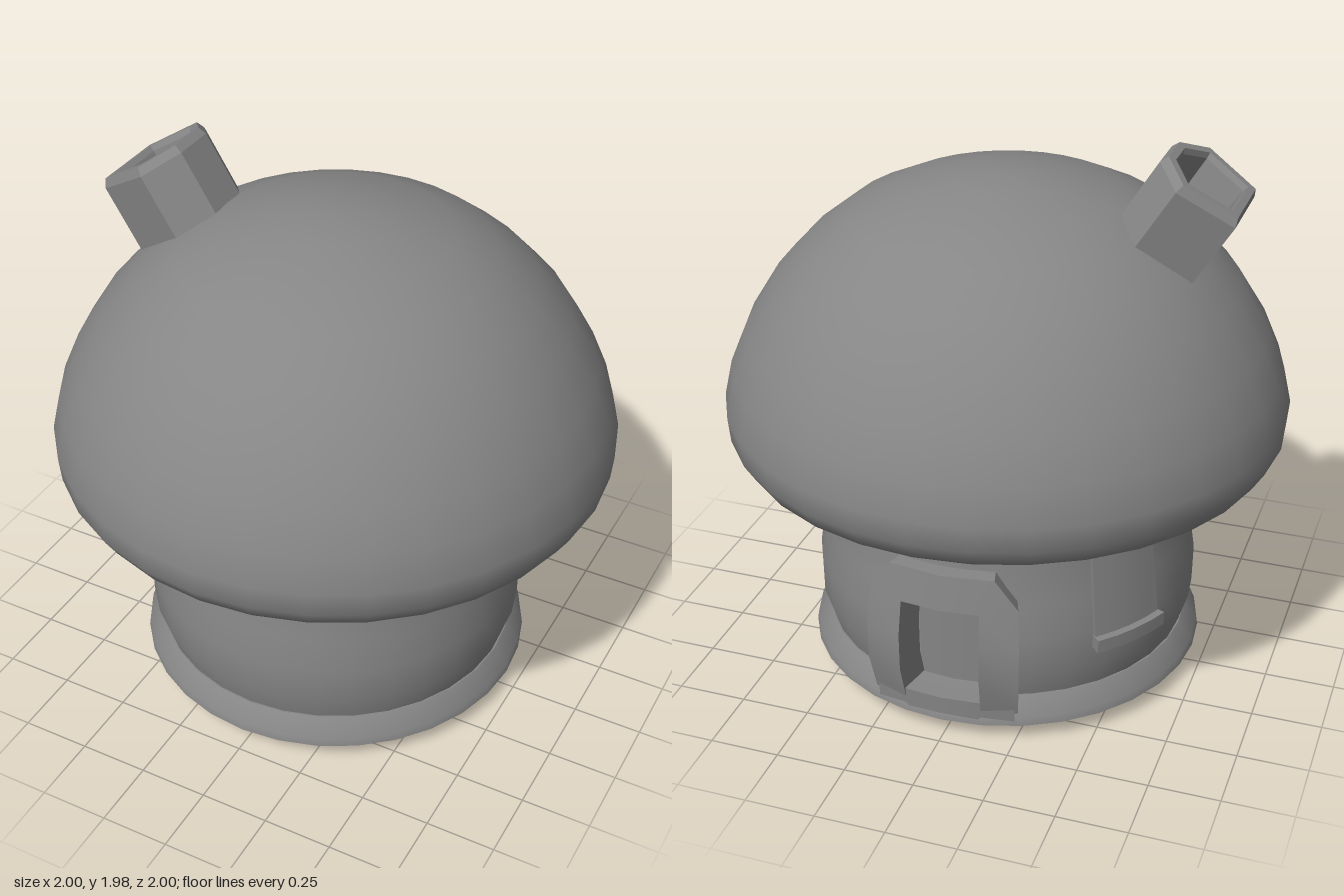
import * as THREE from 'three';
import { toCreasedNormals } from 'three/addons/utils/BufferGeometryUtils.js';

const COLOR = 0x868686;
const smooth = new THREE.MeshStandardMaterial({ color: COLOR, side: THREE.DoubleSide });
const faceted = new THREE.MeshStandardMaterial({ color: COLOR, side: THREE.DoubleSide, flatShading: true });
const SEGMENTS = 32;

// Wall outline as [radius, height]
const WALL = [[0.655, 0.12], [0.66, 0.165], [0.69, 0.26], [0.692, 0.4], [0.672, 0.53], [0.66, 0.62], [0.648, 0.78], [0.645, 0.9]];

function wallRadius(y) {
  for (let i = 1; i < WALL.length; i++) {
    const [r0, y0] = WALL[i - 1], [r1, y1] = WALL[i];
    if (y <= y1) return r0 + (r1 - r0) * Math.max(0, (y - y0) / (y1 - y0));
  }
  return WALL[WALL.length - 1][0];
}

function named(name, geometry, material = smooth) {
  const mesh = new THREE.Mesh(geometry, material);
  mesh.name = name;
  return mesh;
}

function lathe(profile, segments = SEGMENTS, start = 0, length = Math.PI * 2) {
  return new THREE.LatheGeometry(profile.map(([r, y]) => new THREE.Vector2(r, y)), segments, start, length);
}

// Joins loops of equal size into a surface, optionally closing both ends
function loft(loops, capped) {
  const n = loops[0].length, index = [];
  for (let i = 0; i + 1 < loops.length; i++) {
    for (let j = 0; j < n; j++) {
      const p = i * n + j, q = i * n + (j + 1) % n;
      index.push(p, p + n, q + n, p, q + n, q);
    }
  }
  if (capped) {
    const e = (loops.length - 1) * n;
    for (let j = 1; j + 1 < n; j++) index.push(0, j, j + 1, e, e + j + 1, e + j);
  }
  const geometry = new THREE.BufferGeometry();
  geometry.setAttribute('position', new THREE.Float32BufferAttribute(loops.flat(2), 3));
  geometry.setIndex(index);
  geometry.computeVertexNormals();
  return geometry;
}

// Bar that follows the curved wall: stations are [inner, outer] pairs of
// (distance around, height); w0 and w1 are its depths from the wall surface
function bent(stations, w0, w1, phi) {
  const place = ([u, v], w) => {
    const r = wallRadius(v) + w, a = phi + u / 0.7;
    return [r * Math.sin(a), v, r * Math.cos(a)];
  };
  const loops = stations.map(([a, b]) => [place(a, w0), place(a, w1), place(b, w1), place(b, w0)]);
  return toCreasedNormals(loft(loops, true), 0.5);
}

// Rectangular bent panel
function panel(halfWidth, bottom, top, w0, w1, phi) {
  const stations = [-1, -0.5, 0, 0.5, 1].map(k => [[k * halfWidth, bottom], [k * halfWidth, top]]);
  return bent(stations, w0, w1, phi);
}

export function createModel() {
  const model = new THREE.Group();
  const doorPhi = Math.PI, windowPhi = Math.PI + 0.965;

  // Domed roof with a rolled-under rim
  model.add(named('roof', lathe([
    [0.62, 0.85], [0.69, 0.812], [0.77, 0.797], [0.88, 0.828], [0.95, 0.872], [0.992, 0.94], [1, 1.03], [0.97, 1.16],
    [0.91, 1.3], [0.81, 1.46], [0.69, 1.59], [0.55, 1.7], [0.4, 1.77], [0.21, 1.824], [0.08, 1.84], [0, 1.842],
  ])));

  // Wall, left open behind the door and closed above it
  const gap = 0.25;
  model.add(named('wall', lathe(WALL, 30, doorPhi + gap, Math.PI * 2 - gap * 2)));
  model.add(named('wallAboveDoor', lathe(WALL.slice(4), 4, doorPhi - gap, gap * 2)));

  // Base ring and open rounded foot
  model.add(named('baseRing', toCreasedNormals(
    lathe([[0.585, 0.07], [0.72, 0.07], [0.715, 0.1], [0.665, 0.16], [0.6, 0.162]]), 0.6)));
  model.add(named('foot', lathe([[0.33, 0], [0.47, 0.03], [0.55, 0.068], [0.6, 0.095], [0.655, 0.13]])));

  // Door: chamfered frame, recessed leaf and threshold
  const door = new THREE.Group();
  door.name = 'door';
  const half = [
    [[0.135, 0.12], [0.262, 0.12]], [[0.135, 0.26], [0.262, 0.26]], [[0.135, 0.4], [0.262, 0.4]],
    [[0.135, 0.53], [0.262, 0.55]], [[0.135, 0.53], [0.185, 0.66]],
  ];
  const mirrored = half.map(pair => pair.map(([u, v]) => [-u, v]));
  const frame = [...mirrored, [[0, 0.53], [0, 0.66]], ...half.slice().reverse()];
  door.add(named('doorFrame', bent(frame, -0.07, 0.06, doorPhi)));
  door.add(named('doorLeaf', panel(0.15, 0.13, 0.55, -0.085, -0.065, doorPhi)));
  door.add(named('threshold', panel(0.25, 0.08, 0.163, -0.01, 0.06, doorPhi)));
  model.add(door);

  // Window pane and sill
  const window = new THREE.Group();
  window.name = 'window';
  window.add(named('windowPane', panel(0.14, 0.37, 0.68, -0.03, 0.015, windowPhi)));
  window.add(named('windowSill', panel(0.143, 0.335, 0.385, -0.03, 0.04, windowPhi)));
  model.add(window);

  // Tilted six-sided chimney, hollow at the top
  const section = [[0.16, 0.08], [0.16, -0.08], [0.06, -0.205], [-0.16, -0.15], [-0.16, 0.15], [0.06, 0.205]];
  const rings = [[1, -0.4], [1, -0.03], [0.92, 0], [0.76, 0], [0.72, -0.02], [0.7, -0.16], [0, -0.16]];
  const loops = rings.map(([s, y]) => section.map(([x, z]) => [x * s, y, z * s]).reverse());
  const chimney = named('chimney', loft(loops, false), faceted);
  chimney.position.set(-0.695, 1.898, 0);
  chimney.rotation.z = 0.56;
  model.add(chimney);

  return model;
}
